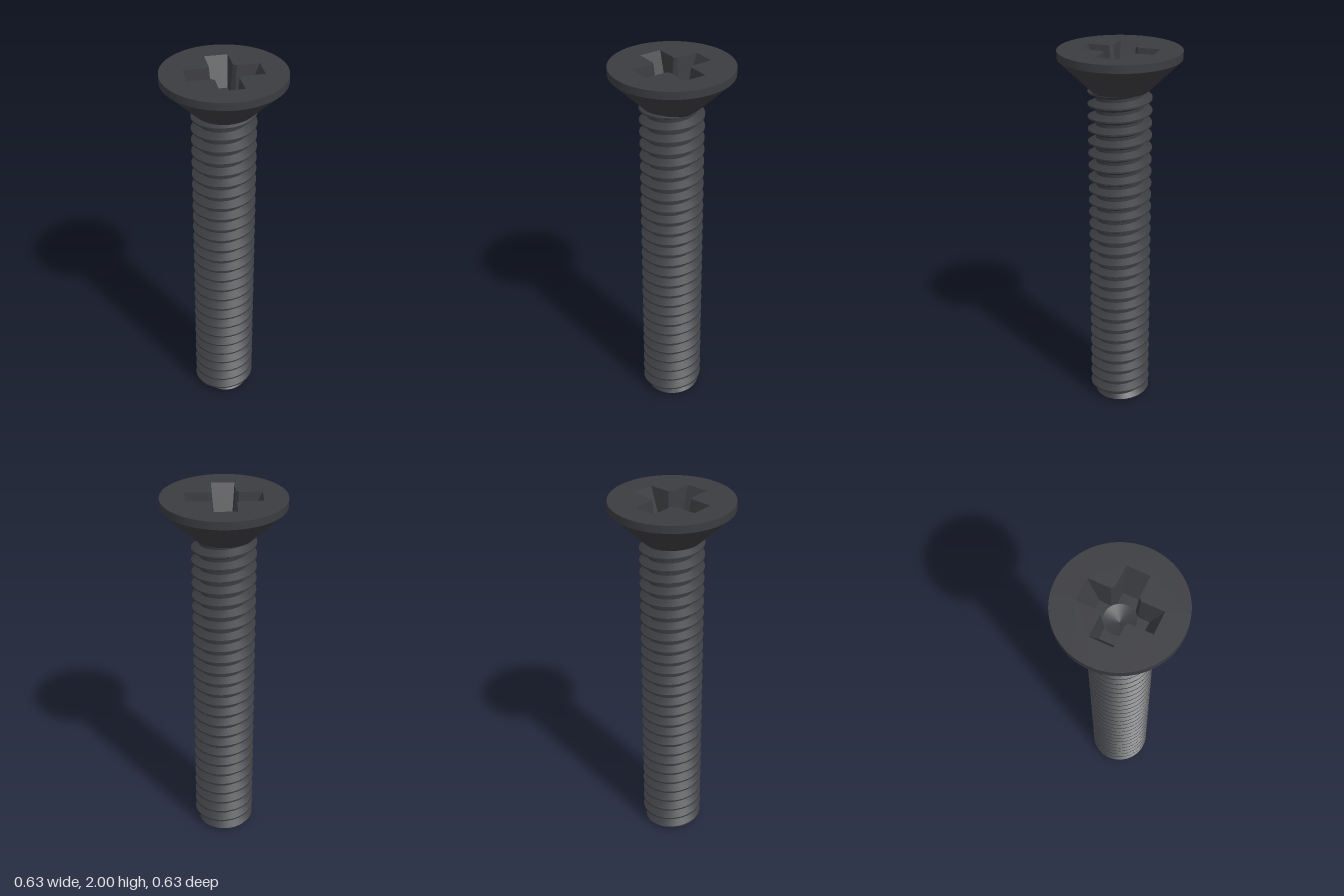
import * as THREE from 'three';
import { toCreasedNormals } from 'three/addons/utils/BufferGeometryUtils.js';

const TAU = Math.PI * 2;
const TOP = 2, HEAD_R = 0.317;
const PITCH = 2 / 30, CREST = 0.166, ROOT = 0.125, SHAFT_TOP = 1.8;

// Smooth normals with sharp edges; enlarged while creasing so fine detail stays distinct
function crease(geo, angle = 0.45) {
  geo.scale(100, 100, 100);
  const out = toCreasedNormals(geo, angle);
  return out.scale(0.01, 0.01, 0.01);
}

// Geometry from a list of Vector3 triangles, skipping collapsed ones
function fromTriangles(tris) {
  const pos = [], t = new THREE.Triangle();
  for (const [a, b, c] of tris) {
    if (t.set(a, b, c).getArea() < 1e-9) continue;
    for (const p of [a, b, c]) pos.push(p.x, p.y, p.z);
  }
  const geo = new THREE.BufferGeometry();
  geo.setAttribute('position', new THREE.Float32BufferAttribute(pos, 3));
  return geo;
}

// Thread radius at a fraction of one pitch: crest flat, flank, root flat, flank
const STEPS = [-0.0625, 0.0625, 0.375, 0.625];
function threadRadius(y, angle) {
  let f = y / PITCH - angle / TAU;
  f = Math.abs(f - Math.round(f));
  const t = THREE.MathUtils.clamp((f - 0.0625) / (0.375 - 0.0625), 0, 1);
  const r = THREE.MathUtils.lerp(CREST, ROOT, t);
  return Math.min(r, 0.137 + y * 1.2); // chamfered tip
}

function shaftPoint(angle, y) {
  y = THREE.MathUtils.clamp(y, 0, SHAFT_TOP);
  const r = threadRadius(y, angle);
  return new THREE.Vector3(r * Math.cos(angle), y, -r * Math.sin(angle));
}

// Helical thread surface: rows follow the right-handed helix, clamped at both ends
function threadGeometry(seg = 72) {
  const heights = [];
  for (let k = -2; k <= SHAFT_TOP / PITCH + 2; k++)
    for (const s of STEPS) heights.push((k + s) * PITCH);
  const tris = [];
  for (let i = 0; i < seg; i++) {
    const a0 = (i / seg) * TAU, a1 = ((i + 1) / seg) * TAU;
    const d0 = (PITCH * i) / seg, d1 = (PITCH * (i + 1)) / seg;
    for (let k = 0; k < heights.length - 1; k++) {
      const a = shaftPoint(a0, heights[k] + d0), b = shaftPoint(a1, heights[k] + d1);
      const c = shaftPoint(a1, heights[k + 1] + d1), d = shaftPoint(a0, heights[k + 1] + d0);
      tris.push([a, b, c], [a, c, d]);
    }
  }
  return crease(fromTriangles(tris));
}

// Flat end of the shaft
function tipGeometry(seg = 72) {
  const tris = [], centre = new THREE.Vector3();
  for (let i = 0; i < seg; i++)
    tris.push([centre, shaftPoint(((i + 1) / seg) * TAU, 0), shaftPoint((i / seg) * TAU, 0)]);
  const geo = fromTriangles(tris);
  geo.computeVertexNormals();
  return geo;
}

// Cross outline: arm reach e, half width w, clipped inner corners at c
function crossOutline(e, w, c) {
  const pts = [];
  for (let q = 0; q < 4; q++)
    for (const [x, y] of [[e, w], [c, w], [w, c], [w, e]])
      pts.push(new THREE.Vector2(x, y).rotateAround(new THREE.Vector2(), (q * Math.PI) / 2));
  return pts;
}

export function createModel() {
  const group = new THREE.Group();
  group.name = 'countersunkScrew';
  const material = new THREE.MeshStandardMaterial({ color: 0x3b3c40 });
  const add = (name, geo) => {
    const mesh = new THREE.Mesh(geo, material);
    mesh.name = name;
    group.add(mesh);
  };
  const lathe = (pts, seg) =>
    crease(new THREE.LatheGeometry(pts.map(([x, y]) => new THREE.Vector2(x, y)), seg));
  const flat = (shape, y, seg) =>
    new THREE.ShapeGeometry(shape, seg).rotateX(-Math.PI / 2).translate(0, y, 0);

  add('threadedShaft', threadGeometry());
  add('shaftTip', tipGeometry());

  // Countersunk head: cone and short rim
  add('headCone', lathe([[0.115, 1.79], [0.15, 1.795], [HEAD_R, 1.96], [HEAD_R, TOP]], 96));

  // Head face with the cross-shaped opening
  const upper = crossOutline(0.192, 0.06, 0.075);
  const lower = crossOutline(0.127, 0.046, 0.068);
  const face = new THREE.Shape().absarc(0, 0, HEAD_R, 0, TAU);
  face.holes.push(new THREE.Path(upper));
  add('headFace', flat(face, TOP, 48));

  // Tapered recess walls
  const floorY = TOP - 0.15, tris = [];
  const at = (p, y) => new THREE.Vector3(p.x, y, -p.y);
  upper.forEach((p, i) => {
    const j = (i + 1) % upper.length;
    const t0 = at(p, TOP), t1 = at(upper[j], TOP);
    const f0 = at(lower[i], floorY), f1 = at(lower[j], floorY);
    tris.push([f0, t1, f1], [f0, t0, t1]);
  });
  const walls = fromTriangles(tris);
  walls.computeVertexNormals();
  add('recessWalls', walls);

  // Recess floor with a shallow conical centre
  const floor = new THREE.Shape(lower);
  floor.holes.push(new THREE.Path().absarc(0, 0, 0.079, 0, TAU));
  add('recessFloor', flat(floor, floorY, 24));
  add('recessCentre', lathe([[0.079, floorY], [0, floorY - 0.03]], 48));

  return group;
}
